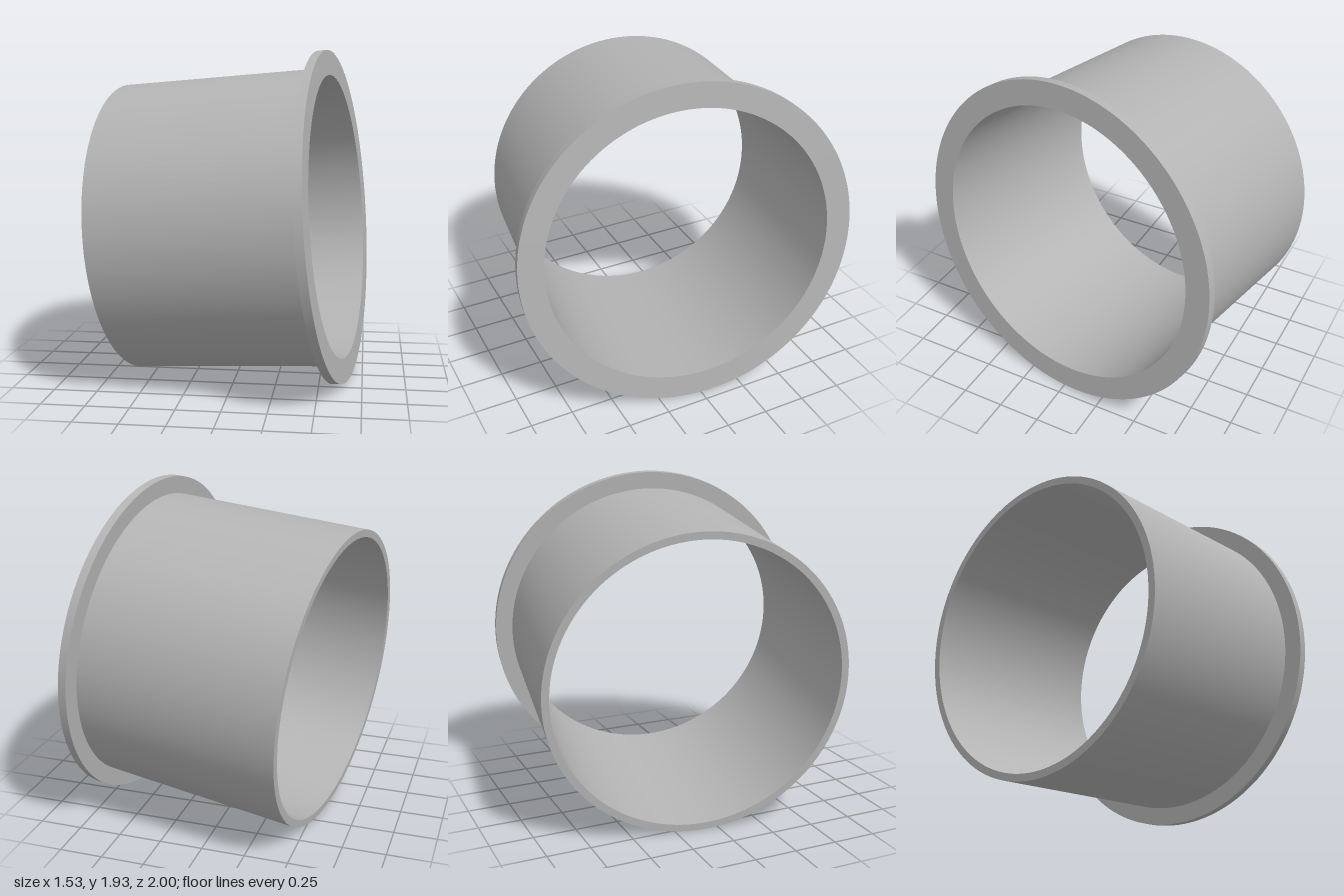
import * as THREE from 'three';
import { toCreasedNormals } from 'three/addons/utils/BufferGeometryUtils.js';

const BORE = 0.823;    // inner radius
const SLEEVE = 0.865;  // outer radius of the tube
const FLANGE = 0.966;  // outer radius of the collar
const LENGTH = 1.237;
const THICK = 0.05;    // collar thickness

// Revolve a [radius, height] profile, keeping its corners sharp
function revolve(name, profile, material) {
  const points = profile.map(([r, h]) => new THREE.Vector2(r, h));
  const geometry = toCreasedNormals(new THREE.LatheGeometry(points, 144), 0.6);
  const mesh = new THREE.Mesh(geometry, material);
  mesh.name = name;
  return mesh;
}

export function createModel() {
  const grey = new THREE.MeshStandardMaterial({ color: 0xb4b4b4 });
  grey.name = 'plain grey';

  const bushing = new THREE.Group();
  bushing.name = 'flangedBushing';

  // Tube: bore, end ring and outer wall up to the collar
  bushing.add(revolve('sleeve', [
    [BORE, LENGTH], [BORE, 0], [SLEEVE, 0], [SLEEVE, LENGTH - THICK],
  ], grey));

  // Collar: back ring, rim and front face
  bushing.add(revolve('flange', [
    [SLEEVE, LENGTH - THICK], [FLANGE, LENGTH - THICK], [FLANGE, LENGTH], [BORE, LENGTH],
  ], grey));

  // Lay the axis along x with a slight tilt
  const axis = new THREE.Vector3(1, 0.085, 0.152).normalize();
  bushing.quaternion.setFromUnitVectors(new THREE.Vector3(0, 1, 0), axis);
  bushing.position.set(0.6, 0.967, 0.043).addScaledVector(axis, -LENGTH);

  const model = new THREE.Group();
  model.name = 'model';
  model.add(bushing);
  return model;
}
